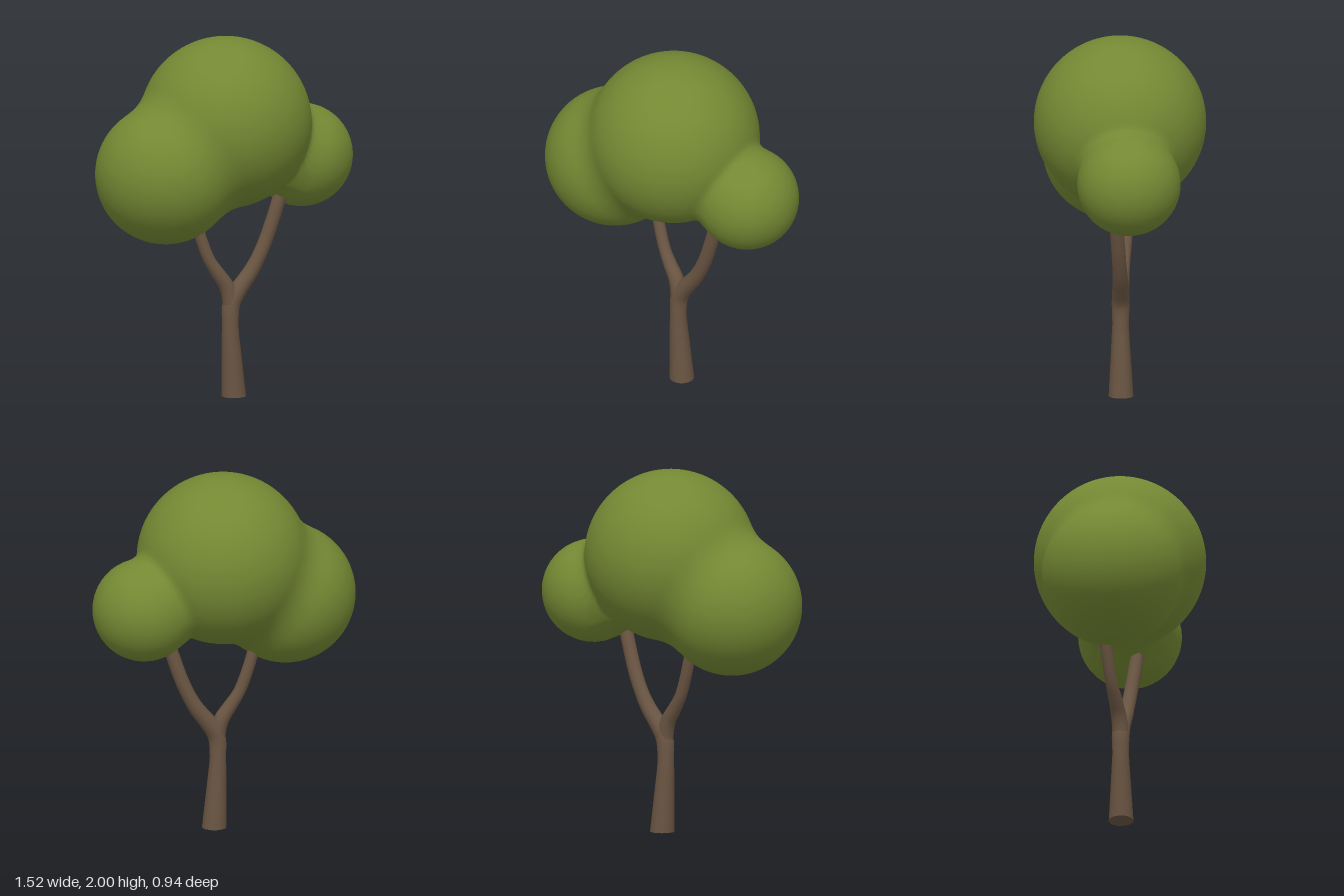
import * as THREE from 'three';
import { mergeVertices } from 'three/addons/utils/BufferGeometryUtils.js';

const V = (x, y, z) => new THREE.Vector3(x, y, z);

// Polynomial smooth minimum: joins two distances with a soft fillet of width k
function smoothMin(a, b, k) {
  const h = Math.max(k - Math.abs(a - b), 0) / k;
  return Math.min(a, b) - h * h * k * 0.25;
}

// Signed distance to the three blended leaf balls
const BALLS = [
  { c: V(0, 1.53, 0), r: 0.47 },
  { c: V(-0.38, 1.28, 0), r: 0.383 },
  { c: V(0.477, 1.3, 0), r: 0.283 },
];
function canopyDistance(p) {
  const [crown, big, small] = BALLS.map((b) => p.distanceTo(b.c) - b.r);
  return smoothMin(smoothMin(crown, big, 0.1), small, 0.05);
}

// Push each vertex of a fine sphere outward until it meets the blended surface
function canopyGeometry() {
  let geo = new THREE.IcosahedronGeometry(1, 26);
  geo.deleteAttribute('uv');
  geo.deleteAttribute('normal');
  geo = mergeVertices(geo);
  const pos = geo.attributes.position;
  const origin = V(-0.05, 1.4, 0);
  const dir = V();
  const p = V();
  for (let i = 0; i < pos.count; i++) {
    dir.fromBufferAttribute(pos, i).normalize();
    let near = 0;
    let far = 1.5;
    for (let s = 0; s < 24; s++) {
      const mid = (near + far) / 2;
      p.copy(origin).addScaledVector(dir, mid);
      if (canopyDistance(p) < 0) near = mid;
      else far = mid;
    }
    pos.setXYZ(i, p.x, p.y, p.z);
  }
  geo.computeVertexNormals();
  return geo;
}

// Tube along a curve whose radius follows [height, radius] steps
function limbGeometry(points, steps) {
  const curve = new THREE.CatmullRomCurve3(points);
  const rings = 28;
  const sides = 14;
  const geo = new THREE.TubeGeometry(curve, rings, 1, sides, false);
  const pos = geo.attributes.position;
  const v = V();
  for (let i = 0; i < pos.count; i++) {
    const centre = curve.getPointAt(Math.floor(i / (sides + 1)) / rings);
    let r = steps[steps.length - 1][1];
    for (let s = steps.length - 2; s >= 0; s--) {
      const [y0, r0] = steps[s];
      const [y1, r1] = steps[s + 1];
      if (centre.y <= y1) r = THREE.MathUtils.mapLinear(Math.max(centre.y, y0), y0, y1, r0, r1);
    }
    v.fromBufferAttribute(pos, i).sub(centre).multiplyScalar(r).add(centre);
    if (centre.y < 0.001) v.y = 0; // flat foot
    pos.setXYZ(i, v.x, v.y, v.z);
  }
  return geo;
}

export function createModel() {
  const tree = new THREE.Group();
  tree.name = 'tree';
  const bark = new THREE.MeshStandardMaterial({ color: 0x6b5643, side: THREE.DoubleSide });
  const leaves = new THREE.MeshStandardMaterial({ color: 0x748833 });
  const add = (name, geo, mat) => {
    const mesh = new THREE.Mesh(geo, mat);
    mesh.name = name;
    tree.add(mesh);
    return mesh;
  };

  // Trunk flowing into the left branch
  add('trunkAndLeftBranch', limbGeometry([
    V(0.052, 0, 0), V(0.04, 0.2, 0), V(0.03, 0.4, 0), V(0.038, 0.52, 0),
    V(0.08, 0.59, 0.004), V(0.155, 0.69, 0.015), V(0.225, 0.83, 0.03),
    V(0.305, 1.08, 0.055), V(0.33, 1.18, 0.06),
  ], [[0, 0.068], [0.4, 0.045], [0.52, 0.05], [0.62, 0.046], [0.75, 0.039], [1.2, 0.037]]), bark);

  // Right branch leaving the fork
  add('rightBranch', limbGeometry([
    V(0.032, 0.42, 0), V(0.033, 0.52, 0), V(0.012, 0.61, -0.008), V(-0.035, 0.685, -0.02),
    V(-0.08, 0.76, -0.035), V(-0.12, 0.87, -0.05), V(-0.15, 0.98, -0.062), V(-0.17, 1.06, -0.068),
  ], [[0.4, 0.043], [0.52, 0.046], [0.62, 0.042], [0.75, 0.033], [1.1, 0.032]]), bark);

  // Underside of the trunk
  const foot = add('trunkFoot', new THREE.CircleGeometry(0.068, 14), bark);
  foot.rotation.x = Math.PI / 2;
  foot.position.set(0.052, 0, 0);

  // Leaf mass
  add('foliage', canopyGeometry(), leaves);
  return tree;
}
